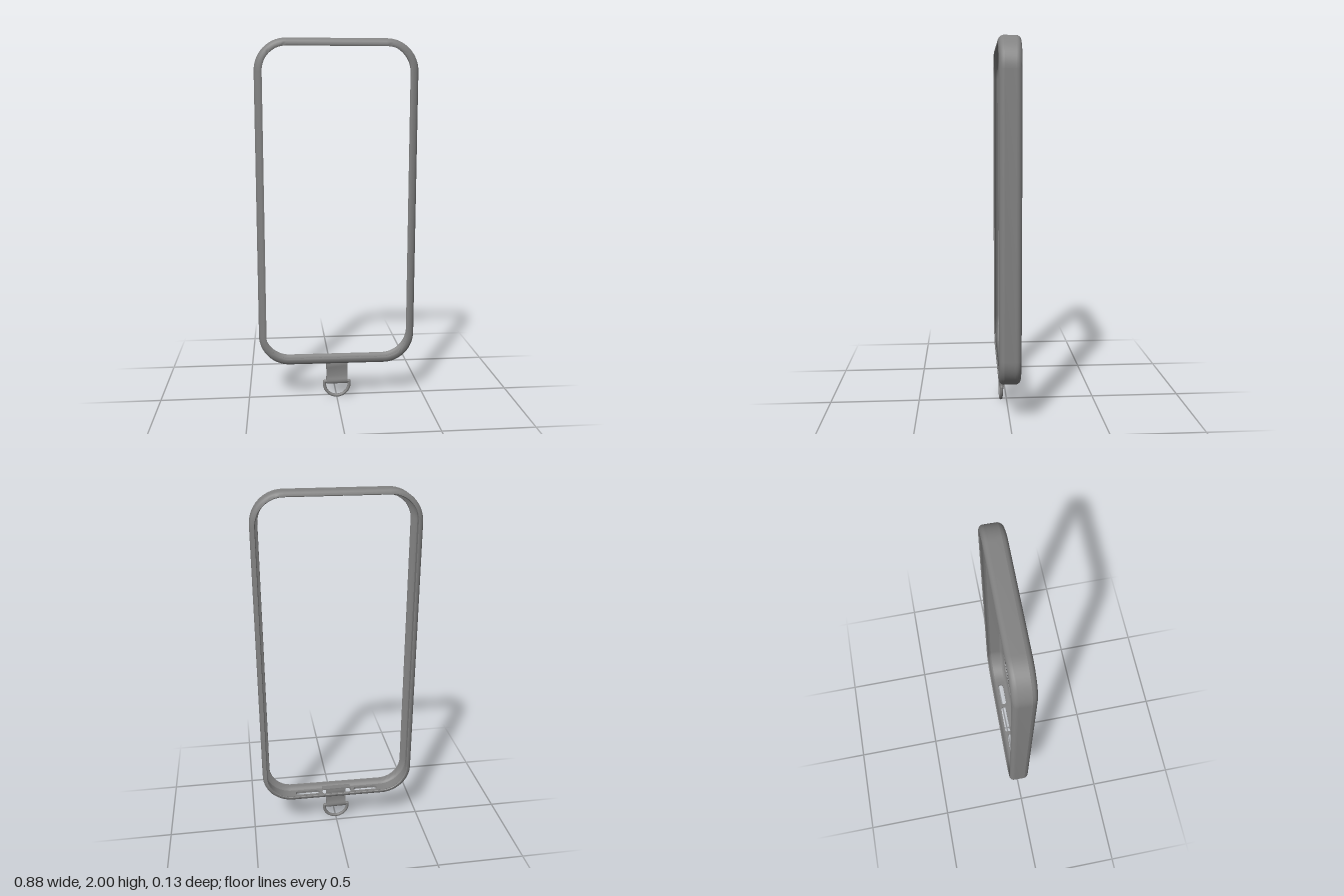
import * as THREE from 'three';
import { toCreasedNormals } from 'three/addons/utils/BufferGeometryUtils.js';

const HALF_W = 0.438, BOTTOM = 0.202, TOP = 2.0, RADIUS = 0.172, WALL = 0.013;
const MID_BACK = -0.03, MID_FRONT = 0.03;
const STRAP_Z = 0.03, STRAP_W = 0.12;
const material = new THREE.MeshStandardMaterial({ color: 0x828282, side: THREE.DoubleSide });

function add(parent, name, geometry, x = 0, y = 0, z = 0) {
  const mesh = new THREE.Mesh(geometry, material);
  mesh.name = name;
  mesh.position.set(x, y, z);
  parent.add(mesh);
  return mesh;
}

// Sweeps a closed profile of [inset, z] points round the rounded rectangle.
// An open sweep leaves out the straight run along the bottom.
function sweepFrame(profile, closed) {
  const cx = HALF_W - RADIUS, steps = 14;
  const centres = [[cx, BOTTOM + RADIUS], [cx, TOP - RADIUS], [-cx, TOP - RADIUS], [-cx, BOTTOM + RADIUS]];
  const rings = [];
  centres.forEach(([x, y], corner) => {
    for (let i = 0; i <= steps; i++) {
      const a = (corner - 1 + i / steps) * Math.PI / 2;
      rings.push(profile.map(([d, z]) => [x + (RADIUS - d) * Math.cos(a), y + (RADIUS - d) * Math.sin(a), z]));
    }
  });
  const positions = [];
  const count = closed ? rings.length : rings.length - 1;
  for (let i = 0; i < count; i++) {
    const r = rings[i], s = rings[(i + 1) % rings.length];
    for (let j = 0; j < profile.length; j++) {
      const k = (j + 1) % profile.length;
      positions.push(...r[j], ...s[j], ...s[k], ...r[j], ...s[k], ...r[k]);
    }
  }
  const g = new THREE.BufferGeometry();
  g.setAttribute('position', new THREE.Float32BufferAttribute(positions, 3));
  return toCreasedNormals(g, 0.8);
}

// Rounded slot outline, used as a hole in the bottom wall
function slot(x0, x1, z0, z1, r) {
  const p = new THREE.Path();
  const y0 = -z1, y1 = -z0;
  p.moveTo(x0 + r, y0);
  p.lineTo(x1 - r, y0);
  p.absarc(x1 - r, y0 + r, r, -Math.PI / 2, 0);
  p.lineTo(x1, y1 - r);
  p.absarc(x1 - r, y1 - r, r, 0, Math.PI / 2);
  p.lineTo(x0 + r, y1);
  p.absarc(x0 + r, y1 - r, r, Math.PI / 2, Math.PI);
  p.lineTo(x0, y0 + r);
  p.absarc(x0 + r, y0 + r, r, Math.PI, Math.PI * 1.5);
  return p;
}

function createFrame() {
  const frame = new THREE.Group();
  frame.name = 'frame';

  // Front edge rolling over into the lip, hollowed smoothly on the inside
  add(frame, 'frontLip', sweepFrame([
    [0, MID_FRONT], [0.003, 0.04], [0.009, 0.048], [0.018, 0.054], [0.03, 0.057], [0.039, 0.057],
    [0.043, 0.055], [0.042, 0.051], [0.034, 0.048], [0.025, 0.044], [0.018, 0.038], [WALL, MID_FRONT],
  ], true));

  // Back edge, with a shorter curl
  add(frame, 'backRim', sweepFrame([
    [WALL, MID_BACK], [0.015, -0.038], [0.019, -0.045], [0.025, -0.05], [0.027, -0.054], [0.024, -0.058],
    [0.016, -0.057], [0.008, -0.052], [0.002, -0.044], [0, -0.036], [0, MID_BACK],
  ], true));

  // Side walls and top
  add(frame, 'sideWall', sweepFrame([
    [0, MID_BACK], [0, MID_FRONT], [WALL, MID_FRONT], [WALL, MID_BACK],
  ], false));

  // Bottom wall with a centre opening and a slot on each side
  const w = HALF_W - RADIUS;
  const shape = new THREE.Shape([[-w, -MID_FRONT], [w, -MID_FRONT], [w, -MID_BACK], [-w, -MID_BACK]]
    .map(([x, y]) => new THREE.Vector2(x, y)));
  shape.holes.push(slot(-0.085, 0.085, -0.024, 0.029, 0.012));
  for (const s of [-1, 1]) shape.holes.push(slot(s * 0.175 - 0.07, s * 0.175 + 0.07, -0.016, 0.016, 0.0155));
  const wall = new THREE.ExtrudeGeometry(shape, { depth: WALL, bevelEnabled: false, curveSegments: 6 });
  wall.rotateX(-Math.PI / 2);
  add(frame, 'bottomWall', wall, 0, BOTTOM, 0);

  // Slight turn about the vertical axis
  frame.rotation.y = -0.0125;
  return frame;
}

function createTether() {
  const tether = new THREE.Group();
  tether.name = 'tether';

  // Strap, thicker at the frame and where it folds round the ring's bar
  const half = [[0.004, 0.222], [0.005, 0.205], [0.008, 0.19], [0.005, 0.175], [0.005, 0.13], [0.009, 0.112],
    [0.013, 0.1], [0.012, 0.09], [0.007, 0.082]];
  const outline = [...half, ...half.map(([z, y]) => [-z, y]).reverse()];
  const strap = new THREE.ExtrudeGeometry(
    new THREE.Shape(outline.map(([z, y]) => new THREE.Vector2(z, y))), { depth: STRAP_W, bevelEnabled: false });
  strap.rotateY(-Math.PI / 2);
  add(tether, 'strap', toCreasedNormals(strap, 0.8), STRAP_W / 2, 0, STRAP_Z);

  // Tab that holds the strap inside the frame
  add(tether, 'innerTab', new THREE.BoxGeometry(0.17, 0.006, 0.034), 0, 0.222, 0.022);

  // D-shaped ring, hanging slightly forward
  const ring = new THREE.Group();
  ring.name = 'ring';
  ring.position.set(0, 0.094, STRAP_Z);
  ring.rotation.x = -0.04;
  const bow = new THREE.TorusGeometry(0.071, 0.009, 12, 40, Math.PI);
  bow.rotateZ(Math.PI);
  add(ring, 'ringBow', bow, 0, -0.014, 0);
  const bar = new THREE.CapsuleGeometry(0.009, 0.142, 6, 12);
  bar.rotateZ(Math.PI / 2);
  add(ring, 'ringBar', bar);
  for (const s of [-1, 1]) {
    add(ring, 'ringCorner', new THREE.CylinderGeometry(0.009, 0.009, 0.014, 12), s * 0.071, -0.007, 0);
  }
  tether.add(ring);
  return tether;
}

export function createModel() {
  const model = new THREE.Group();
  model.name = 'bumperFrame';
  model.add(createFrame(), createTether());
  return model;
}
